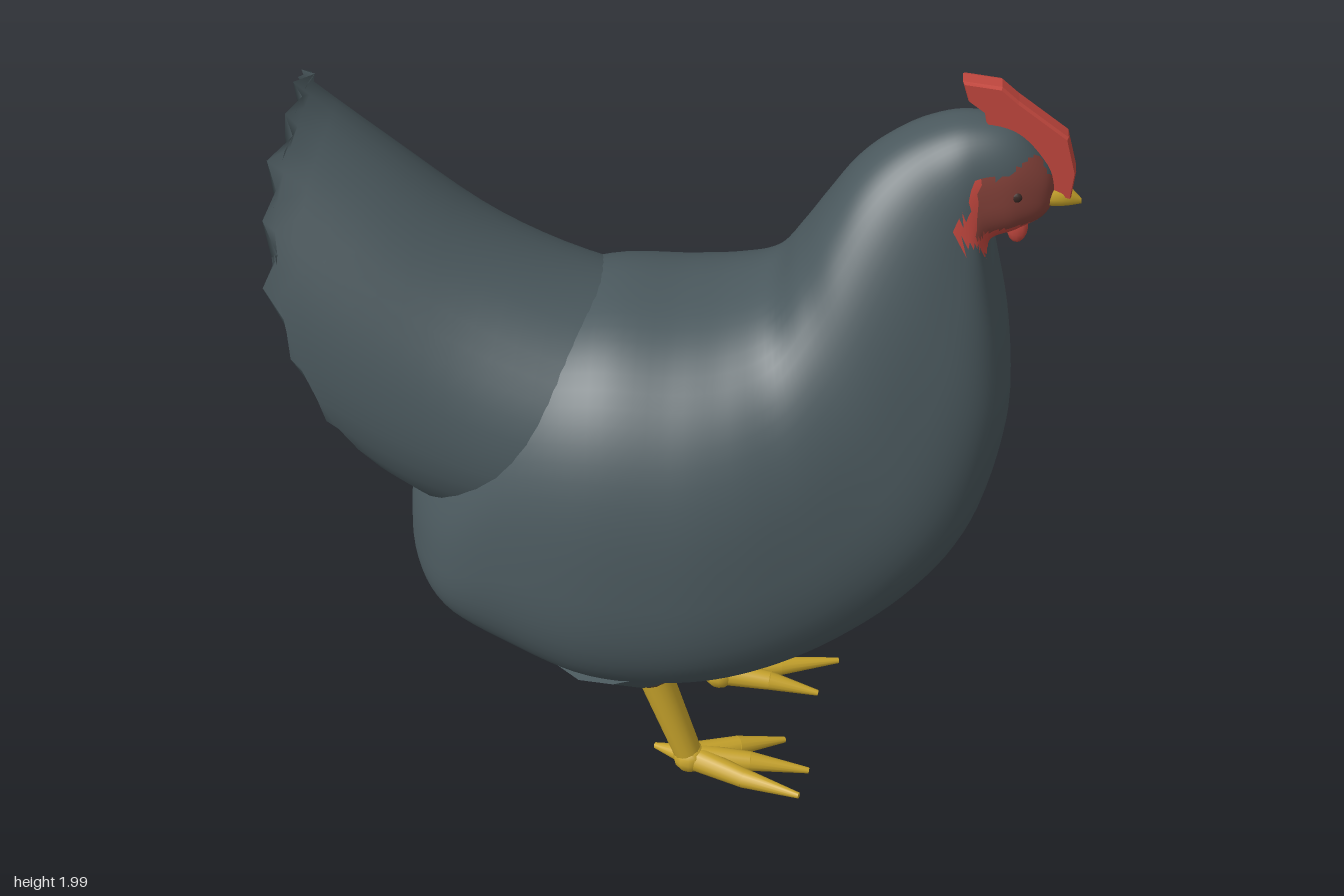
import * as THREE from 'three';

const mat = (name, color) => Object.assign(new THREE.MeshStandardMaterial({ color }), { name });

// Scalar Catmull-Rom between rows of numbers, so few rows give a smooth loft
function sampleRows(rows, steps) {
  const out = [];
  for (let k = 0; k < rows.length - 1; k++) {
    const [a, b, c, d] = [-1, 0, 1, 2].map(o => rows[Math.min(rows.length - 1, Math.max(0, k + o))]);
    for (let s = 0; s < steps; s++) {
      const t = s / steps;
      out.push(b.map((_, i) => b[i] + 0.5 * t * (c[i] - a[i]
        + t * (2 * a[i] - 5 * b[i] + 4 * c[i] - d[i] + t * (3 * (b[i] - c[i]) + d[i] - a[i])))));
    }
  }
  out.push(rows[rows.length - 1]);
  return out;
}

// Lofts rings. Row: top x, top y, bottom x, bottom y, half width, centre z, rearward bulge.
// power and belly set how square the upper and lower halves are;
// pick(x, y, z) chooses the material group; warp edits a point in place.
function loft(rows, { steps = 4, sides = 40, power = 0.85, belly = power, pick = () => 0, warp } = {}) {
  const rings = sampleRows(rows, steps), pos = [], lists = [[], [], []];
  rings.forEach(([tx, ty, bx, by, w, cz, bulge = 0], i) => {
    for (let j = 0; j < sides; j++) {
      const a = j / sides * Math.PI * 2;
      const soft = v => Math.sign(v) * Math.abs(v) ** (Math.cos(a) < 0 ? belly : power);
      const c = soft(Math.cos(a)), s = soft(Math.sin(a));
      const p = [(tx + bx) / 2 + c * (tx - bx) / 2 - bulge * s * s,
        (ty + by) / 2 + c * (ty - by) / 2, cz + s * w * (1 - 0.12 * c)];
      if (warp) warp(p, i, j, rings.length);
      pos.push(...p);
    }
  });
  const add = (...f) => {
    const m = [0, 1, 2].map(k => f.reduce((t, v) => t + pos[v * 3 + k], 0) / 3);
    lists[pick(...m)].push(...f);
  };
  for (let i = 0; i < rings.length - 1; i++) for (let j = 0; j < sides; j++) {
    const a = i * sides + j, b = i * sides + (j + 1) % sides;
    add(a, b, a + sides);
    add(b, b + sides, a + sides);
  }
  const g = new THREE.BufferGeometry();
  g.setAttribute('position', new THREE.Float32BufferAttribute(pos, 3));
  g.setIndex(lists.flat());
  let start = 0;
  lists.forEach((l, m) => { g.addGroup(start, l.length, m); start += l.length; });
  g.computeVertexNormals();
  return g;
}

export function createModel() {
  const feather = mat('slate feathers', 0x4b595e);
  const red = mat('comb red', 0xc4483f);
  const brown = mat('eye skin', 0x85423a);
  const yellow = mat('leg yellow', 0xc9a52c);
  const cuff = mat('thigh brown', 0x62503f);
  const dark = mat('eye dark', 0x3a2a26);
  const bird = new THREE.Group();
  bird.name = 'hen';
  const put = (name, geo, material, parent = bird) => {
    const m = new THREE.Mesh(geo, material);
    m.name = name;
    parent.add(m);
    return m;
  };

  // Body, neck and head in one skin, with bare red skin around the eyes
  const bodyRows = [
    [-0.59, 0.79, -0.59, 0.75, 0.01, 0.06],
    [-0.56, 0.92, -0.56, 0.63, 0.20, 0.06],
    [-0.47, 1.08, -0.47, 0.54, 0.34, 0.07],
    [-0.30, 1.33, -0.30, 0.45, 0.41, 0.08],
    [-0.10, 1.42, -0.10, 0.39, 0.46, 0.09],
    [0.10, 1.42, 0.12, 0.39, 0.48, 0.08],
    [0.22, 1.43, 0.32, 0.43, 0.465, 0.07],
    [0.31, 1.465, 0.53, 0.52, 0.42, 0.06],
    [0.37, 1.555, 0.72, 0.66, 0.36, 0.05],
    [0.43, 1.66, 0.84, 0.84, 0.305, 0.045],
    [0.49, 1.75, 0.90, 1.10, 0.25, 0.03],
    [0.56, 1.815, 0.89, 1.30, 0.205, 0.015],
    [0.65, 1.865, 0.85, 1.48, 0.165, 0],
    [0.75, 1.895, 0.82, 1.59, 0.13, 0],
    [0.86, 1.88, 0.88, 1.62, 0.10, 0],
    [0.94, 1.80, 0.94, 1.65, 0.06, 0],
    [0.97, 1.73, 0.97, 1.69, 0.01, 0],
  ];
  const pickSkin = (x, y, z) => {
    const dx = (x - 0.87) / 0.13, dy = (y - 1.70) / 0.12;
    const ragged = 0.95 + 0.12 * Math.sin(6 * Math.atan2(dy, dx));
    if (Math.abs(z) < 0.02 || Math.hypot(dx, dy) > ragged) return 0;
    return y > 1.655 && x > 0.785 ? 2 : 1;
  };
  put('body', loft(bodyRows, { steps: 6, sides: 64, belly: 0.72, pick: pickSkin }), [feather, red, brown]);

  // Tail: flared fan with a ragged rim and a shallow rear face
  const rim = [-0.83, 1.91, -0.43, 0.80, 0.345, 0.025, 0.19];
  const ragged = atStart => (p, i, j, n) => {
    if (i === (atStart ? 0 : n - 1)) p[0] += [0, 0.035, 0.01, 0.045][j % 4];
  };
  put('tail', loft([rim,
    [-0.62, 1.74, -0.40, 0.78, 0.355, 0.04, 0.13],
    [-0.40, 1.565, -0.34, 0.78, 0.36, 0.055, 0.07],
    [-0.20, 1.455, -0.24, 0.80, 0.365, 0.07, 0.03],
    [0.02, 1.38, -0.05, 0.82, 0.36, 0.08, 0],
  ], { power: 0.95, warp: ragged(true) }), feather);
  put('tailRear', loft([
    [-0.62, 1.30, -0.62, 1.27, 0.01, 0.03, 0],
    [-0.65, 1.52, -0.55, 1.05, 0.17, 0.03, 0.04],
    [-0.71, 1.76, -0.47, 0.90, 0.28, 0.03, 0.10],
    rim,
  ], { power: 0.95, warp: ragged(false) }), feather);

  // Comb: upright plate with a blunt rear point
  const comb = new THREE.Shape([
    [0.735, 1.995], [0.75, 1.95], [0.79, 1.92], [0.80, 1.87], [0.88, 1.82], [0.93, 1.72], [1.0, 1.70],
    [1.005, 1.77], [0.98, 1.86], [0.92, 1.905], [0.86, 1.95], [0.82, 1.985],
  ].map(p => new THREE.Vector2(...p)));
  put('comb', new THREE.ExtrudeGeometry(comb, {
    depth: 0.036, bevelSize: 0.004, bevelThickness: 0.01, bevelSegments: 1,
  }).translate(0, 0, -0.018), red);

  // Beak: broad base with a hooked taper
  put('beak', loft([
    [0.90, 1.74, 0.91, 1.68, 0.055, 0],
    [0.98, 1.725, 0.98, 1.672, 0.036, 0],
    [1.03, 1.685, 1.03, 1.672, 0.004, 0],
  ], { sides: 12 }), yellow);

  // Eyes, wattles and ear lobes on both sides
  for (const s of [1, -1]) {
    const side = s > 0 ? 'right' : 'left';
    const blob = (name, x, y, z, sx, sy, sz, m) => {
      const b = put(side + name, new THREE.SphereGeometry(1, 12, 8), m);
      b.position.set(x, y, z * s);
      b.scale.set(sx, sy, sz);
    };
    blob('Eye', 0.87, 1.74, 0.096, 0.016, 0.014, 0.008, dark);
    blob('Wattle', 0.885, 1.615, 0.03, 0.025, 0.042, 0.014, red);
    blob('EarLobe', 0.775, 1.67, 0.112, 0.026, 0.04, 0.022, red);
  }

  // Tapered limb between two points
  const limb = (name, from, to, r0, r1, material, parent) => {
    const a = new THREE.Vector3(...from), d = new THREE.Vector3(...to).sub(a);
    const m = put(name, new THREE.CylinderGeometry(r1, r0, d.length(), 14), material, parent);
    m.position.copy(a).addScaledVector(d, 0.5);
    m.quaternion.setFromUnitVectors(new THREE.Vector3(0, 1, 0), d.normalize());
  };
  // Legs: feathered thigh, brown cuff, shank, three front toes and a hind toe
  const legs = [
    { name: 'rightLeg', hip: [0.02, 0.42, 0.272], ankle: [0.145, 0.06, 0.29],
      toes: [[0.44, 0.05, 0.40], [0.46, 0.015, 0.27], [0.39, 0.015, 0.16]], hind: [0.05, 0.05, 0.25] },
    { name: 'leftLeg', hip: [0.05, 0.42, -0.07], ankle: [0.20, 0.06, -0.04],
      toes: [[0.38, 0.015, -0.24], [0.52, 0.03, -0.15], [0.47, 0.015, -0.03]], hind: [0.09, 0.11, -0.03] },
  ];
  for (const { name, hip, ankle, toes, hind } of legs) {
    const leg = new THREE.Group();
    leg.name = name;
    bird.add(leg);
    const along = t => hip.map((v, k) => v + (ankle[k] - v) * t);
    limb('thigh', [hip[0] - 0.02, 0.50, hip[2]], along(0.17), 0.23, 0.085, feather, leg);
    limb('thighCuff', along(0.1), along(0.26), 0.10, 0.048, cuff, leg);
    limb('shank', hip, ankle, 0.048, 0.036, yellow, leg);
    const ball = put('ankle', new THREE.SphereGeometry(0.044, 12, 8), yellow, leg);
    ball.position.set(...ankle);
    for (const tip of toes) {
      const knuckle = ankle.map((v, k) => k === 1 ? 0.045 : v + (tip[k] - v) * 0.5);
      limb('toe', ankle, knuckle, 0.035, 0.026, yellow, leg);
      limb('toeTip', knuckle, tip, 0.026, 0.008, yellow, leg);
    }
    limb('hindToe', ankle, hind, 0.03, 0.008, yellow, leg);
  }

  // Turn the bird to its three-quarter heading
  bird.rotation.y = -THREE.MathUtils.degToRad(28);
  const model = new THREE.Group();
  model.add(bird);
  return model;
}
